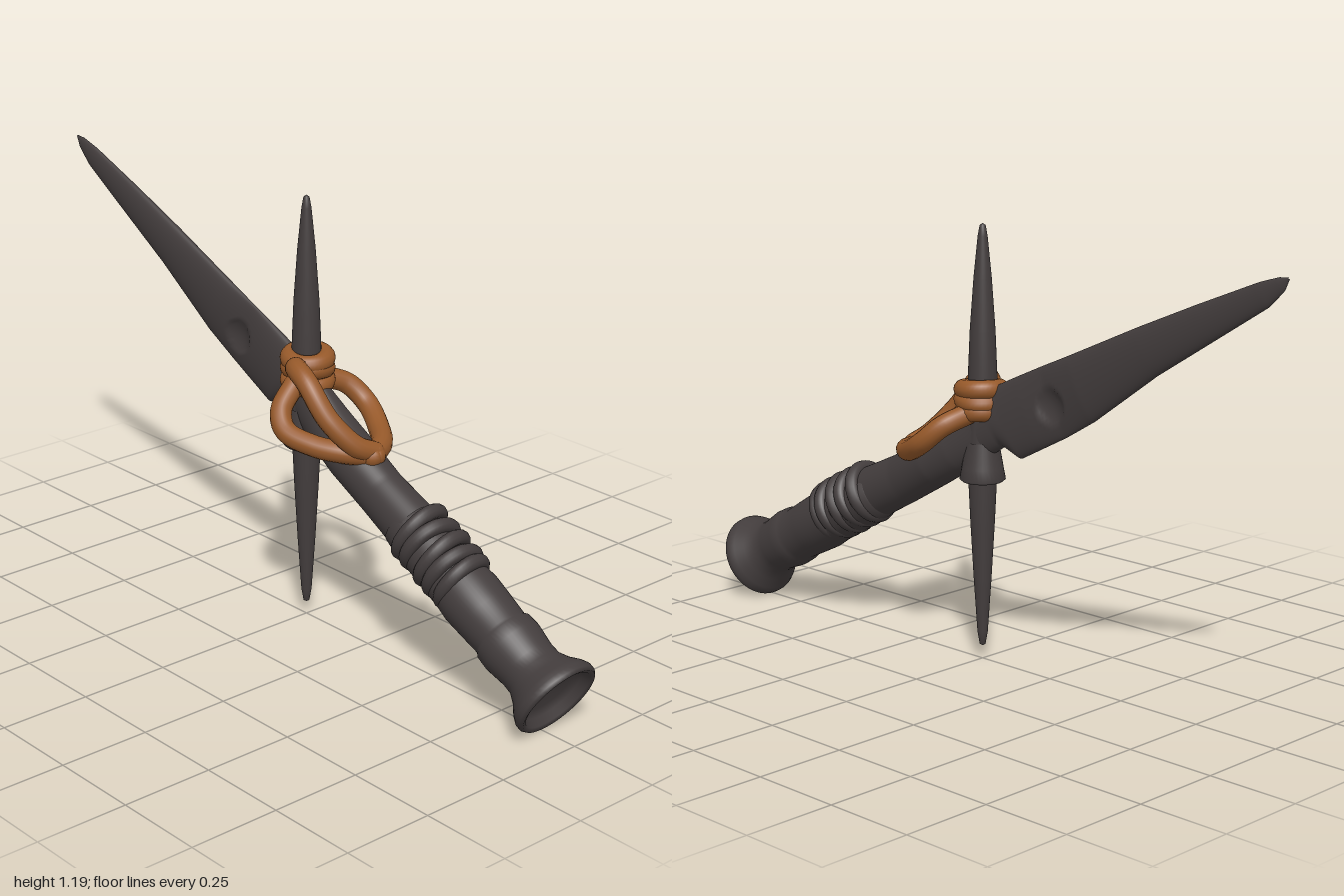
import * as THREE from 'three';

const dark = new THREE.MeshStandardMaterial({ color: 0x433d3d });
dark.name = 'dark iron';
const brown = new THREE.MeshStandardMaterial({ color: 0x96592a });
brown.name = 'brown cord';

function part(name, geometry, material, parent) {
  const m = new THREE.Mesh(geometry, material);
  m.name = name;
  parent.add(m);
  return m;
}

// Profile of [radius, height] pairs, listed upward
function lathe(points, segments = 40) {
  return new THREE.LatheGeometry(points.map(([r, h]) => new THREE.Vector2(r, h)), segments);
}

// Blade and neck stations: [u, top edge, bottom edge, half thickness]
const STATIONS = [
  [-1.136, -0.004, -0.008, 0.003], [-1.11, 0.008, -0.028, 0.007], [-1.05, 0.02, -0.045, 0.012],
  [-0.85, 0.043, -0.057, 0.019], [-0.65, 0.063, -0.069, 0.024], [-0.4, 0.083, -0.1, 0.025],
  [-0.29, 0.093, -0.104, 0.017], [-0.2, 0.1, -0.102, 0.025], [-0.11, 0.106, -0.1, 0.03],
  [-0.07, 0.105, -0.05, 0.033], [0, 0.1, -0.055, 0.042], [0.1, 0.082, -0.063, 0.06],
  [0.2, 0.073, -0.067, 0.069], [0.34, 0.07, -0.07, 0.063], [0.47, 0.08, -0.07, 0.068],
];

function station(u) {
  let i = 0;
  while (i < STATIONS.length - 2 && u > STATIONS[i + 1][0]) i++;
  const a = STATIONS[i], b = STATIONS[i + 1];
  const t = (u - a[0]) / (b[0] - a[0]);
  return a.map((v, k) => v + (b[k] - v) * t);
}

// Lens-shaped sections joined along u, with a round dimple on both faces
function bladeGeometry() {
  const rows = 200, sides = 56, pos = [], index = [];
  const u0 = STATIONS[0][0], u1 = STATIONS[STATIONS.length - 1][0];
  for (let j = 0; j <= rows; j++) {
    const u = u0 + (u1 - u0) * j / rows;
    const [, top, bottom, thick] = station(u);
    for (let i = 0; i < sides; i++) {
      const a = i / sides * Math.PI * 2;
      const v = (top + bottom) / 2 + (top - bottom) / 2 * Math.cos(a);
      let z = thick * Math.sin(a);
      const d = Math.hypot(u + 0.288, v + 0.015) / 0.047;
      if (d < 1) z *= 0.25 + 0.6 * d * d;
      pos.push(u, v, z);
      if (j < rows) {
        const p = j * sides + i, q = j * sides + (i + 1) % sides;
        index.push(p, q, p + sides, q, q + sides, p + sides);
      }
    }
  }
  const g = new THREE.BufferGeometry();
  g.setAttribute('position', new THREE.Float32BufferAttribute(pos, 3));
  g.setIndex(index);
  g.computeVertexNormals();
  return g;
}

function cord(name, points, parent) {
  const curve = new THREE.CatmullRomCurve3(points.map(p => new THREE.Vector3(...p)));
  part(name, new THREE.TubeGeometry(curve, 48, 0.029, 14), brown, parent);
  // rounded ends
  for (const p of [points[0], points[points.length - 1]]) {
    part(name + 'End', new THREE.SphereGeometry(0.029, 14, 10), brown, parent).position.set(...p);
  }
}

export function createModel() {
  const model = new THREE.Group();
  model.name = 'dagger';

  // Slanted blade and handle, built along local x
  const dagger = new THREE.Group();
  dagger.name = 'bladeAndHandle';
  dagger.position.y = 0.63;
  dagger.rotation.z = -0.5007;
  model.add(dagger);
  part('blade', bladeGeometry(), dark, dagger);

  // Grip with flared, hollow pommel
  const grip = part('grip', lathe([
    [0.04, 0.43], [0.07, 0.45], [0.076, 0.5], [0.08, 0.68], [0.084, 0.72], [0.081, 0.78], [0.077, 0.845],
    [0.084, 0.855], [0.086, 0.89], [0.078, 0.95], [0.079, 0.98], [0.093, 1.01], [0.111, 1.035],
    [0.119, 1.052], [0.119, 1.066], [0.112, 1.075], [0.1, 1.07], [0.09, 1.05], [0.07, 1.037], [0, 1.03],
  ], 48), dark, dagger);
  grip.rotation.z = -Math.PI / 2;

  // Raised bands at the top of the grip
  const bands = [[0.495, 0.072, 0.1], [0.54, 0.071, -0.08], [0.59, 0.073, 0.1], [0.635, 0.072, -0.05], [0.672, 0.07, 0.08]];
  bands.forEach(([u, r, tilt], i) => {
    const band = part('gripBand' + (i + 1), new THREE.TorusGeometry(r, 0.02, 12, 48), dark, dagger);
    band.position.set(u, 0.012, 0);
    band.rotation.set(0, Math.PI / 2 + tilt, 0);
  });

  // Upright cross spike
  part('crossSpike', lathe([
    [0, 0.05], [0.008, 0.055], [0.014, 0.09], [0.024, 0.24], [0.033, 0.4], [0.039, 0.53], [0.041, 0.65],
    [0.039, 0.8], [0.034, 0.92], [0.024, 1.06], [0.013, 1.17], [0.008, 1.198], [0, 1.204],
  ], 32), dark, model);

  // Collar under the crossing, with a brown lining
  part('collar', lathe([[0.055, 0.512], [0.062, 0.518], [0.056, 0.55], [0.049, 0.59], [0.044, 0.62]], 32), dark, model);
  part('collarLining', lathe([[0.036, 0.516], [0.055, 0.512]].reverse().map(([r, h]) => [r, h]), 32), brown, model)
    .material.side = THREE.DoubleSide;

  // Cord wound round the spike
  const wraps = [[0.7, 0.1, -0.12], [0.735, -0.1, 0.1], [0.762, 0.08, -0.1]];
  wraps.forEach(([y, tx, tz], i) => {
    const wrap = part('cordWrap' + (i + 1), new THREE.TorusGeometry(0.048, 0.026, 14, 40), brown, model);
    wrap.position.set(0.005, y, 0);
    wrap.rotation.set(Math.PI / 2 + tx, tz, 0);
  });

  // Cord loops meeting on top of the neck
  cord('upperCord', [
    [0.02, 0.745, 0.05], [0.07, 0.768, 0.095], [0.13, 0.75, 0.112], [0.2, 0.665, 0.1],
    [0.25, 0.595, 0.05], [0.265, 0.57, 0],
  ], model);
  cord('frontCord', [
    [0.01, 0.7, 0.05], [0.03, 0.645, 0.115], [0.07, 0.605, 0.132], [0.15, 0.58, 0.105],
    [0.22, 0.57, 0.06], [0.27, 0.562, 0],
  ], model);
  cord('backCord', [
    [0.01, 0.7, -0.045], [0.04, 0.672, -0.11], [0.09, 0.625, -0.135], [0.17, 0.585, -0.105],
    [0.235, 0.57, -0.055], [0.27, 0.562, 0.01],
  ], model);
  return model;
}
